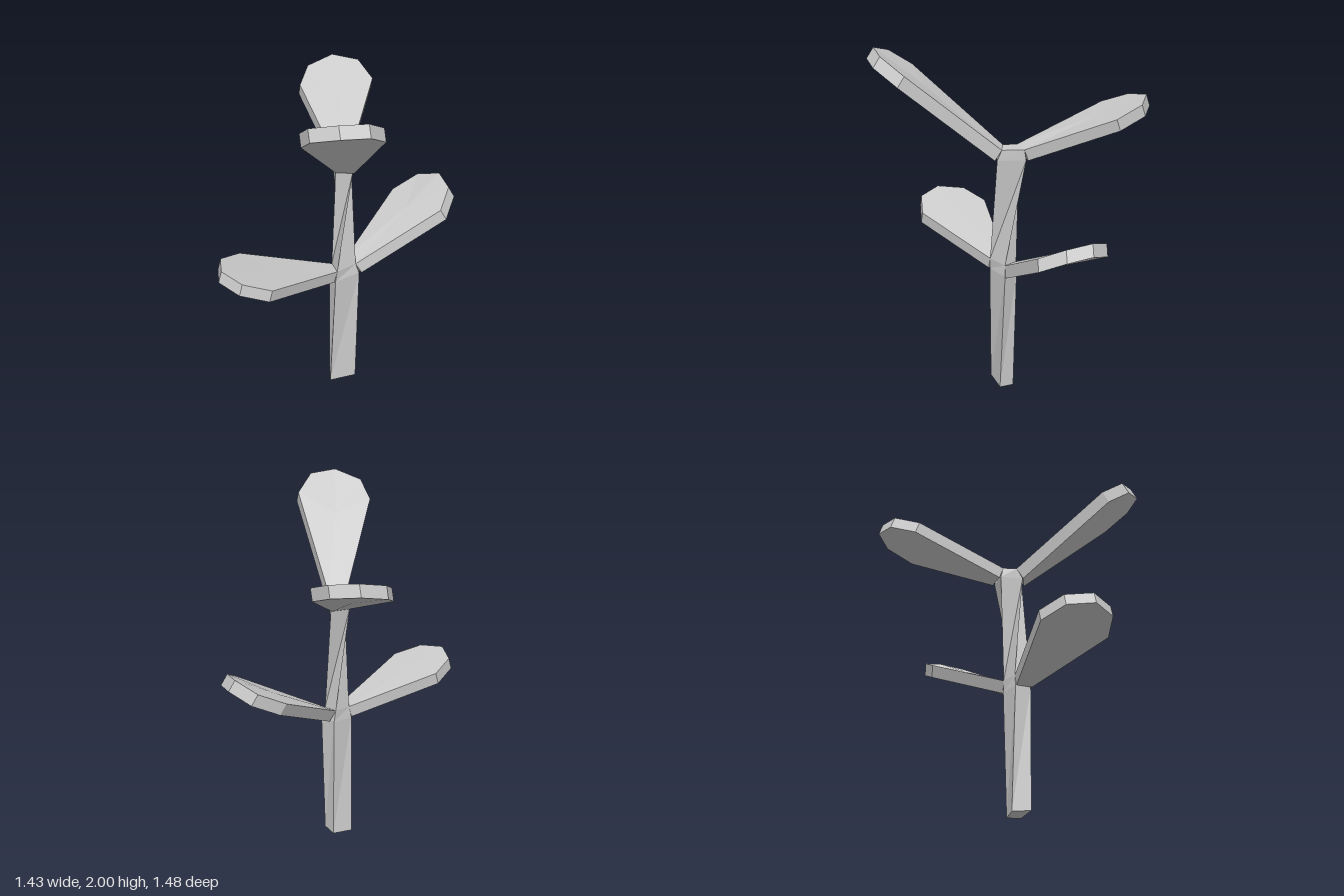
import * as THREE from 'three';

const material = new THREE.MeshStandardMaterial({ color: 0xcccccc, flatShading: true });

// Closed solid through a stack of rings (counter-clockwise from above, lowest first)
function loft(name, rings) {
  const pos = [];
  const tri = (...pts) => pts.forEach((p) => pos.push(...p));
  const n = rings[0].length;
  for (let r = 0; r < rings.length - 1; r++) {
    for (let i = 0; i < n; i++) {
      const j = (i + 1) % n;
      const [lo, hi] = [rings[r], rings[r + 1]];
      tri(lo[i], lo[j], hi[j]);
      tri(lo[i], hi[j], hi[i]);
    }
  }
  // End caps as fans around the ring centre
  const centre = (ring) => [0, 1, 2].map((k) => ring.reduce((s, p) => s + p[k], 0) / n);
  const bottom = rings[0], top = rings[rings.length - 1];
  for (let i = 0; i < n; i++) {
    const j = (i + 1) % n;
    tri(centre(bottom), bottom[j], bottom[i]);
    tri(centre(top), top[i], top[j]);
  }
  const geometry = new THREE.BufferGeometry();
  geometry.setAttribute('position', new THREE.Float32BufferAttribute(pos, 3));
  geometry.computeVertexNormals();
  const mesh = new THREE.Mesh(geometry, material);
  mesh.name = name;
  return mesh;
}

// Leaf: upper outline, thickened downwards by an offset square to the blade
function leaf(name, outline, offset) {
  const under = outline.map((p) => p.map((v, k) => v + offset[k]));
  return loft(name, [under, outline]);
}

export function createModel() {
  const group = new THREE.Group();
  group.name = 'sprout';

  // Four-sided stem that twists between the lower and upper joints
  group.add(loft('stem', [
    [[-0.07, 0.01, 0.10], [0.085, 0.01, 0.085], [0.06, 0, 0], [-0.05, 0.005, 0]],
    [[-0.04, 0.715, 0.11], [0.11, 0.72, 0.06], [0.06, 0.715, -0.02], [-0.055, 0.715, 0.02]],
    [[-0.03, 0.78, 0.11], [0.09, 0.78, 0.055], [0.05, 0.78, -0.02], [-0.04, 0.78, 0.02]],
    [[0.06, 1.39, 0.09], [0.09, 1.39, -0.065], [-0.02, 1.39, -0.055], [-0.03, 1.39, 0.07]],
    [[0.065, 1.45, 0.065], [0.09, 1.45, -0.055], [-0.015, 1.45, -0.04], [-0.03, 1.45, 0.035]],
  ]));

  group.add(leaf('upperFrontLeaf', [
    [-0.03, 1.45, 0.035], [-0.31, 1.86, 0.47], [-0.295, 1.95, 0.60], [-0.17, 2.0, 0.70],
    [-0.02, 1.985, 0.69], [0.085, 1.90, 0.585], [0.065, 1.45, 0.065],
  ], [0, -0.058, 0.038]));

  group.add(leaf('upperBackLeaf', [
    [0.09, 1.45, -0.055], [0.325, 1.655, -0.49], [0.28, 1.71, -0.645], [0.145, 1.725, -0.72],
    [-0.01, 1.69, -0.675], [-0.085, 1.635, -0.545], [-0.015, 1.45, -0.04],
  ], [-0.003, -0.065, -0.022]));

  group.add(leaf('lowerLeftLeaf', [
    [0.09, 0.78, 0.055], [0.595, 1.035, 0.015], [0.68, 1.105, -0.11], [0.67, 1.12, -0.255],
    [0.575, 1.07, -0.365], [0.42, 0.995, -0.352], [0.05, 0.78, -0.02],
  ], [0.035, -0.062, 0.005]));

  group.add(leaf('lowerRightLeaf', [
    [-0.04, 0.78, 0.02], [-0.56, 0.925, 0.01], [-0.68, 0.97, 0.11], [-0.70, 0.99, 0.265],
    [-0.61, 0.97, 0.385], [-0.455, 0.922, 0.41], [-0.03, 0.78, 0.11],
  ], [-0.018, -0.065, 0.005]));

  return group;
}
